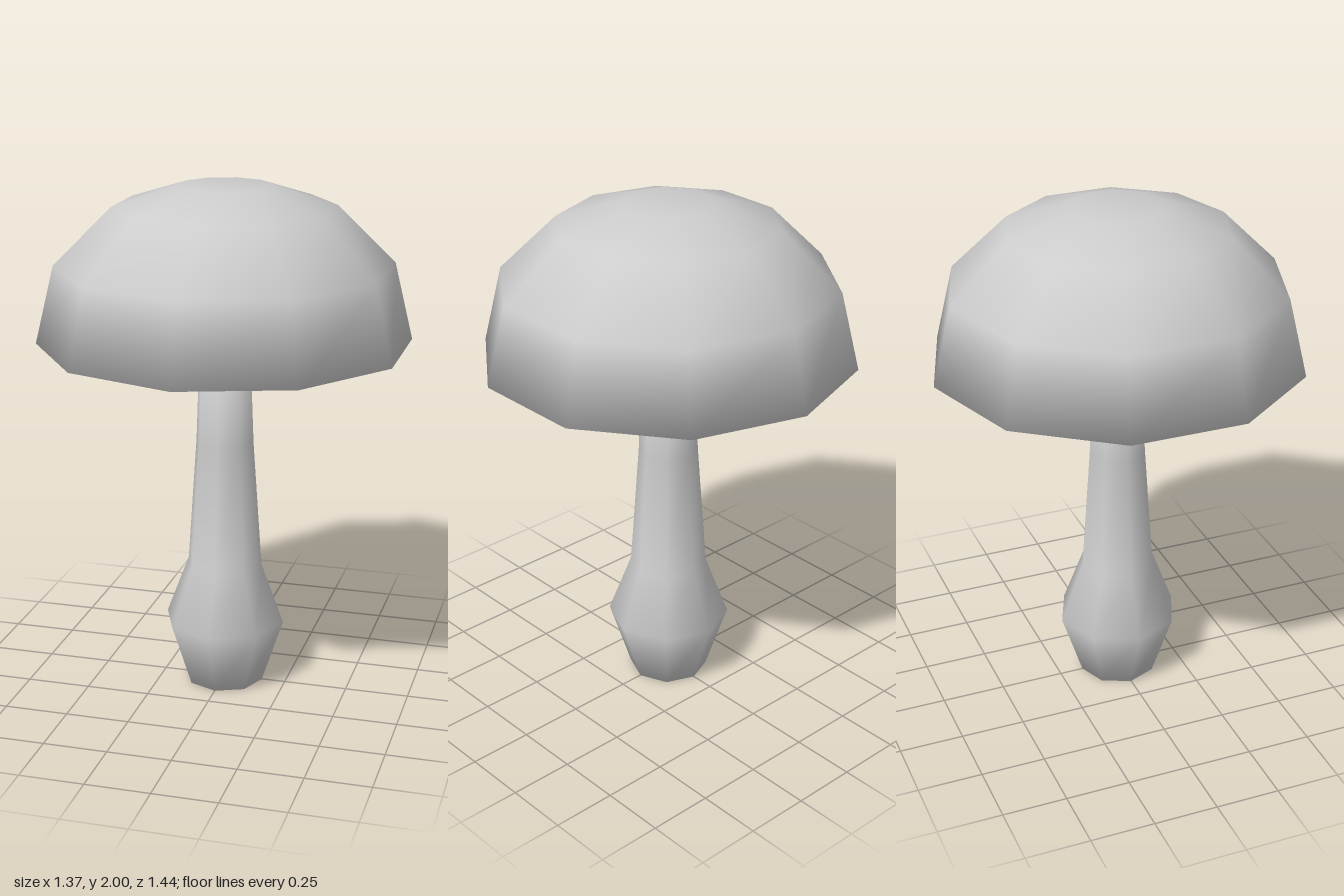
import * as THREE from 'three';

// Closed solid from stacked regular polygons [radius, y], listed bottom to top,
// with normals averaged over shared corners (weighted by corner angle).
function turnedSolid(profile, sides) {
  const points = [];
  for (const [r, y] of profile) {
    for (let i = 0; i < sides; i++) {
      const a = (i / sides) * Math.PI * 2;
      points.push(new THREE.Vector3(Math.sin(a) * r, y, Math.cos(a) * r));
    }
  }

  // Side quads plus one flat polygon at each end
  const ring = [...Array(sides).keys()];
  const top = (profile.length - 1) * sides;
  const faces = [ring.slice().reverse(), ring.map((i) => top + i)];
  for (let k = 0; k < profile.length - 1; k++) {
    for (const i of ring) {
      const j = (i + 1) % sides;
      const low = k * sides;
      const high = low + sides;
      faces.push([low + i, low + j, high + j, high + i]);
    }
  }

  const normals = points.map(() => new THREE.Vector3());
  const index = [];
  for (const face of faces) {
    const n = face.length;
    face.forEach((id, c) => {
      const toNext = points[face[(c + 1) % n]].clone().sub(points[id]);
      const toPrev = points[face[(c + n - 1) % n]].clone().sub(points[id]);
      const normal = toNext.clone().cross(toPrev).normalize();
      normals[id].addScaledVector(normal, toNext.angleTo(toPrev));
    });
    for (let c = 1; c < n - 1; c++) index.push(face[0], face[c], face[c + 1]);
  }
  normals.forEach((v) => v.normalize());

  const geometry = new THREE.BufferGeometry();
  const flat = (list) => new THREE.Float32BufferAttribute(list.flatMap((v) => v.toArray()), 3);
  geometry.setAttribute('position', flat(points));
  geometry.setAttribute('normal', flat(normals));
  geometry.setIndex(index);
  return geometry;
}

export function createModel() {
  const group = new THREE.Group();
  group.name = 'mushroom';

  const grey = new THREE.MeshStandardMaterial({ color: 0xcccccc });
  grey.name = 'light grey';

  const add = (name, profile, sides) => {
    const mesh = new THREE.Mesh(turnedSolid(profile, sides), grey);
    mesh.name = name;
    group.add(mesh);
  };

  // Stem with a bulbous foot
  add('stem', [[0.155, 0], [0.24, 0.26], [0.15, 0.5], [0.115, 1.0], [0.1, 1.4]], 8);
  // Domed cap with a flat underside
  add('cap', [[0.72, 1.4], [0.647, 1.7], [0.425, 1.92], [0.175, 2.0]], 10);

  return group;
}
